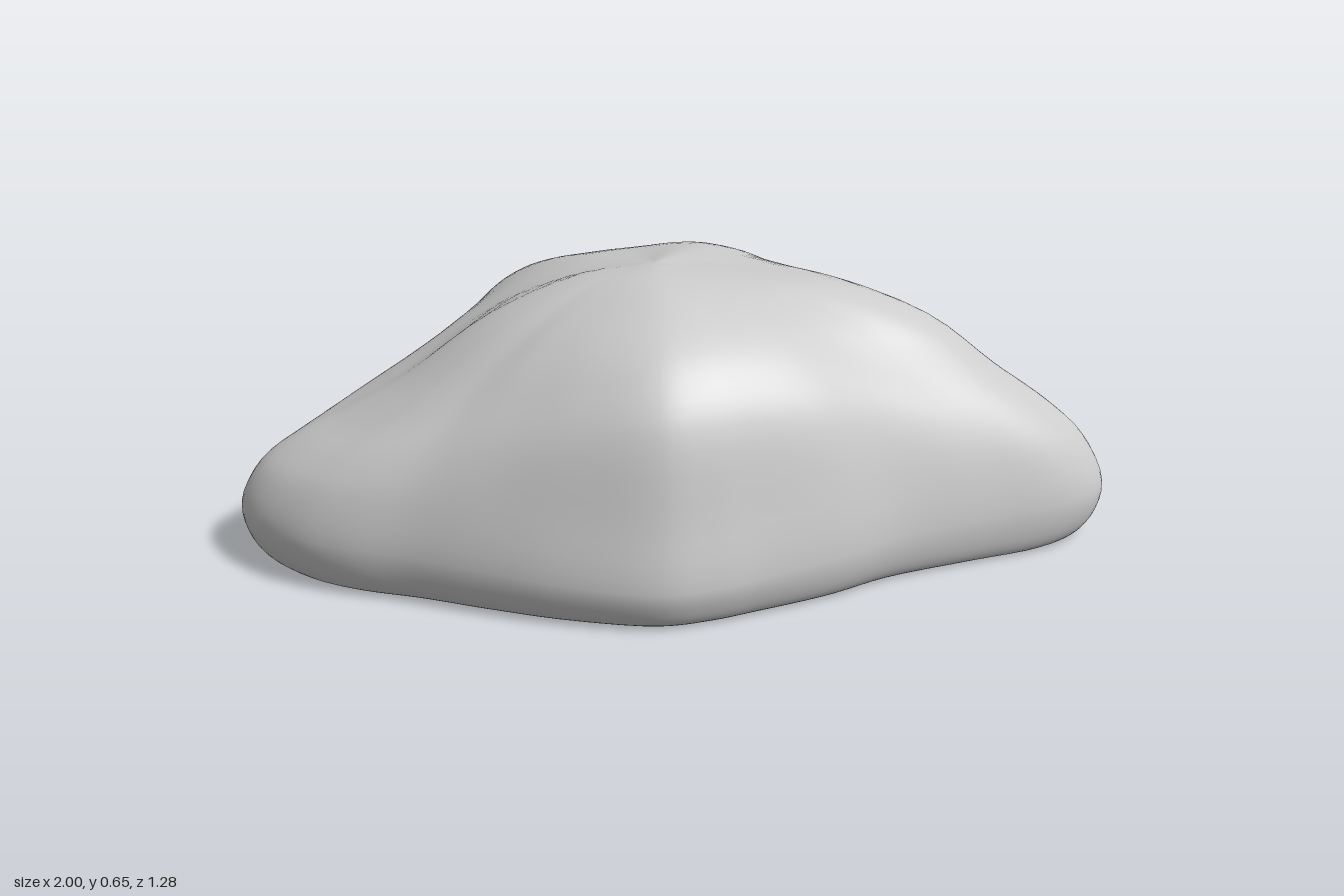
import * as THREE from 'three';
import { mergeVertices } from 'three/addons/utils/BufferGeometryUtils.js';

// Widest outline of the boulder seen from above: [x, z]
const OUTLINE = [
  [1, 0.2], [0.97, 0.12], [0.85, -0.02], [0.65, -0.14], [0.46, -0.25], [0.39, -0.36],
  [0.27, -0.49], [0.14, -0.57], [0, -0.61], [-0.17, -0.645], [-0.3, -0.635], [-0.4, -0.61],
  [-0.48, -0.53], [-0.57, -0.37], [-0.66, -0.26], [-0.85, -0.13], [-0.96, -0.01], [-1, 0.07],
  [-0.97, 0.18], [-0.87, 0.3], [-0.77, 0.365], [-0.63, 0.425], [-0.48, 0.5], [-0.3, 0.58],
  [-0.1, 0.635], [0.02, 0.62], [0.12, 0.59], [0.3, 0.53], [0.46, 0.455], [0.67, 0.395],
  [0.87, 0.34], [0.96, 0.28],
];
const PEAK = { x: -0.05, y: 0.657, z: 0.08 };

// Surface heights from peak to rim, at the fractions STEPS, by compass angle (+x = 0, front = 90)
const STEPS = [0.2, 0.4, 0.6, 0.75, 0.87, 0.95, 1];
const SLOPES = [
  [7, [0.637, 0.61, 0.53, 0.41, 0.32, 0.24, 0.13]],
  [40, [0.645, 0.62, 0.57, 0.5, 0.41, 0.28, 0.12]],
  [92, [0.652, 0.63, 0.585, 0.525, 0.43, 0.24, 0.1]],
  [140, [0.645, 0.6, 0.53, 0.445, 0.355, 0.25, 0.12]],
  [180, [0.628, 0.545, 0.41, 0.33, 0.275, 0.22, 0.13]],
  [212, [0.63, 0.59, 0.53, 0.46, 0.375, 0.28, 0.14]],
  [260, [0.633, 0.613, 0.57, 0.525, 0.45, 0.37, 0.2]],
  [300, [0.652, 0.642, 0.595, 0.525, 0.425, 0.32, 0.17]],
  [328, [0.65, 0.637, 0.595, 0.53, 0.435, 0.32, 0.15]],
];

const turn = (degrees) => ((degrees % 360) + 360) % 360;
const slope = (i) => SLOPES[(i + SLOPES.length) % SLOPES.length];

// Smooth curve through the slopes around the compass
function heightsAt(angle) {
  const i = SLOPES.findIndex(([a], n) => turn(angle - a) < turn(slope(n + 1)[0] - a));
  const [before, from, to, after] = [-1, 0, 1, 2].map((n) => slope(i + n));
  const span = turn(to[0] - from[0]);
  const t = turn(angle - from[0]) / span;
  const spanIn = turn(to[0] - before[0]);
  const spanOut = turn(after[0] - from[0]);
  return STEPS.map((_, j) => {
    const [h0, h1, h2, h3] = [before, from, to, after].map(([, heights]) => heights[j]);
    const m1 = ((h2 - h0) / spanIn) * span;
    const m2 = ((h3 - h1) / spanOut) * span;
    const k = t * t * (3 - 2 * t);
    return h1 + (h2 - h1) * k + m1 * t * (1 - t) ** 2 - m2 * t * t * (1 - t);
  });
}

// Profile from the peak over the rim to the middle of the flat base
function profileAt(angle) {
  const points = [[0, PEAK.y]];
  heightsAt(angle).forEach((h, j) => points.push([STEPS[j], h]));
  points.push([0.985, 0.055], [0.95, 0.018], [0.9, 0.01], [0.6, 0.01], [0, 0.01]);
  return new THREE.CatmullRomCurve3(points.map(([s, y]) => new THREE.Vector3(s, y, 0)));
}

function boulderGeometry(columns = 144, rows = 48) {
  const outline = new THREE.CatmullRomCurve3(
    OUTLINE.map(([x, z]) => new THREE.Vector3(x, 0, z)), true);
  const positions = [];
  const index = [];
  for (let i = 0; i < columns; i++) {
    const rim = outline.getPoint(i / columns);
    const dx = rim.x - PEAK.x;
    const dz = rim.z - PEAK.z;
    const profile = profileAt(THREE.MathUtils.radToDeg(Math.atan2(dz, dx)));
    for (let j = 0; j <= rows; j++) {
      const p = profile.getPoint(j / rows);
      positions.push(PEAK.x + dx * p.x, p.y, PEAK.z + dz * p.x);
    }
    const here = i * (rows + 1);
    const next = ((i + 1) % columns) * (rows + 1);
    for (let j = 0; j < rows; j++) {
      if (j < rows - 1) index.push(here + j, here + j + 1, next + j + 1);
      if (j > 0) index.push(here + j, next + j + 1, next + j);
    }
  }
  const geometry = new THREE.BufferGeometry();
  geometry.setAttribute('position', new THREE.Float32BufferAttribute(positions, 3));
  geometry.setIndex(index);
  // Join the columns at the two poles so the shading is smooth there
  const merged = mergeVertices(geometry, 1e-4);
  merged.computeVertexNormals();
  return merged;
}

export function createModel() {
  const group = new THREE.Group();
  group.name = 'rock';
  const boulder = new THREE.Mesh(
    boulderGeometry(), new THREE.MeshStandardMaterial({ color: 0xcccccc }));
  boulder.name = 'boulder';
  group.add(boulder);
  return group;
}
